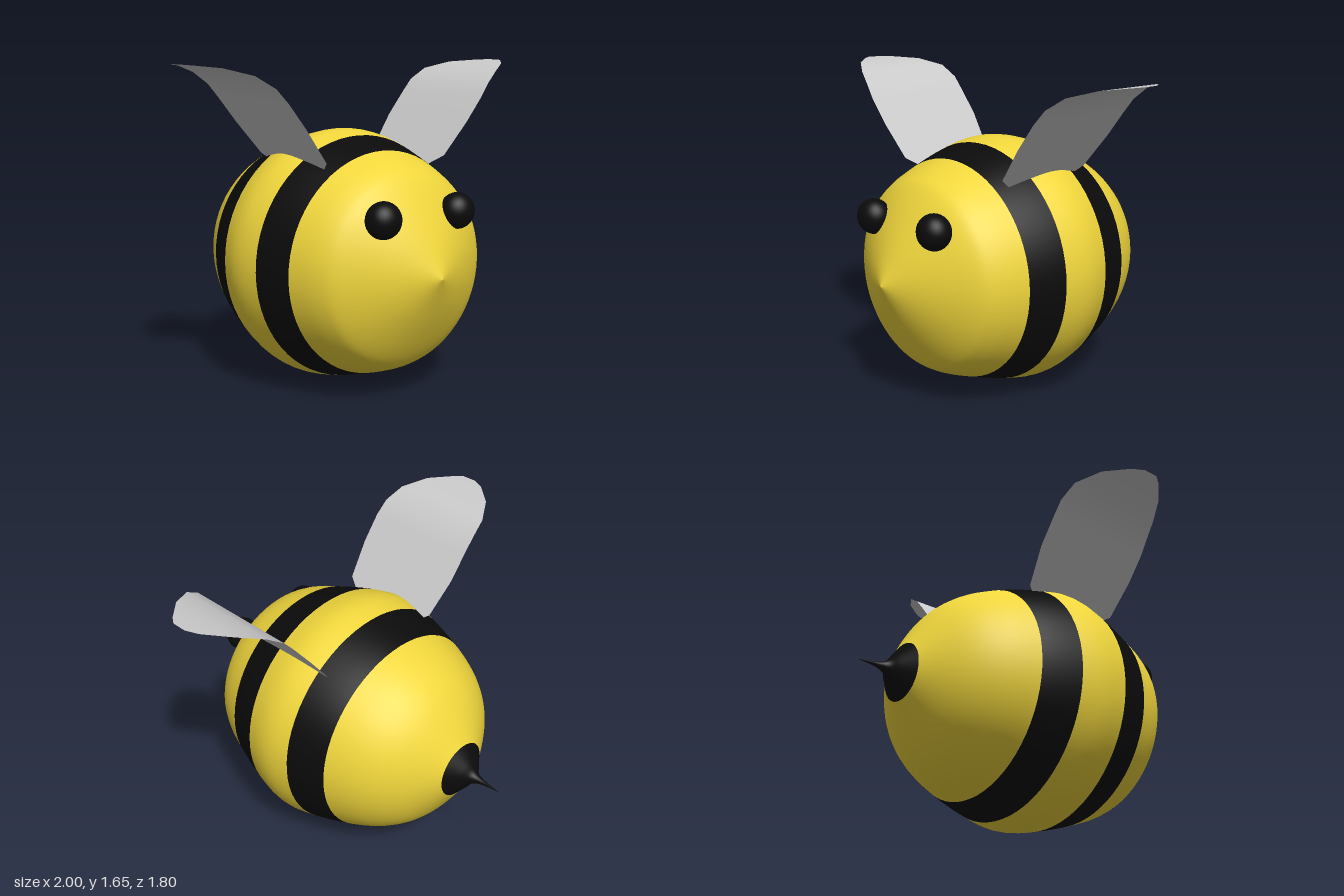
import * as THREE from 'three';

const V = (a) => a.map(([r, z]) => new THREE.Vector2(r, z));
const STEPS = 6; // samples per profile span

// Body profile (radius, z) from tail to nose; stripes begin and end on listed points
const bodyProfile = [
  [0.15, -0.65], [0.355, -0.52], [0.475, -0.39], [0.56, -0.22], [0.625, -0.02],
  [0.65, 0.12], [0.625, 0.265], [0.565, 0.455], [0.505, 0.6], [0.43, 0.685],
  [0.23, 0.802], [0, 0.905],
];
const stingerProfile = [
  [0, -0.9], [0.006, -0.85], [0.014, -0.79], [0.035, -0.74], [0.08, -0.705], [0.15, -0.65],
];
// Wing stations: x, y, back z, front z
const wingStations = [
  [0.25, 1.02, 0.05, 0.3], [0.33, 1.12, -0.03, 0.39], [0.37, 1.17, -0.1, 0.47],
  [0.5, 1.335, -0.13, 0.495], [0.6, 1.46, -0.13, 0.497], [0.66, 1.53, -0.13, 0.485],
  [0.75, 1.59, -0.115, 0.45], [0.87, 1.625, -0.04, 0.37], [0.97, 1.637, 0.075, 0.265],
  [1.0, 1.64, 0.14, 0.22],
];

export function createModel() {
  const group = new THREE.Group();
  const yellow = new THREE.MeshStandardMaterial({ color: 0xf0d63c });
  const black = new THREE.MeshStandardMaterial({ color: 0x0b0b0b });
  const wingMat = new THREE.MeshStandardMaterial({ color: 0xcccccc, side: THREE.DoubleSide });

  const add = (name, geo, mat) => {
    const mesh = new THREE.Mesh(geo, mat);
    mesh.name = name;
    group.add(mesh);
    return mesh;
  };
  // Turned part whose axis runs along z
  const turned = (name, points, mat) => {
    const geo = new THREE.LatheGeometry(points, 64).rotateX(Math.PI / 2);
    return add(name, geo, mat).position.set(-0.025, 0.655, 0);
  };

  // Striped body: bands between profile point indices
  const points = new THREE.SplineCurve(V(bodyProfile)).getPoints((bodyProfile.length - 1) * STEPS);
  points.forEach((p) => { p.x = Math.max(0, p.x); });
  [
    ['rearBody', 0, 3, yellow], ['rearStripe', 3, 4, black], ['middleBody', 4, 6, yellow],
    ['frontStripe', 6, 7, black], ['head', 7, 11, yellow],
  ].forEach(([name, a, b, mat]) => turned(name, points.slice(a * STEPS, b * STEPS + 1), mat));

  // Stinger
  const sting = new THREE.SplineCurve(V(stingerProfile)).getPoints(30);
  sting.forEach((p) => { p.x = Math.max(0, p.x); });
  turned('stinger', sting, black);

  // Curved thin wing, side = 1 or -1
  const wing = (side) => {
    const pos = [], index = [], across = 6;
    wingStations.forEach(([x, y, z0, z1], i) => {
      for (let j = 0; j <= across; j++) {
        pos.push(x * side, y + (side < 0 ? 0.012 : 0), THREE.MathUtils.lerp(z0, z1, j / across) - (side < 0 ? 0.01 : 0));
        if (i && j) {
          const d = i * (across + 1) + j, c = d - 1, b = d - across - 1, a = b - 1;
          if (side > 0) index.push(a, b, c, b, d, c);
          else index.push(a, c, b, b, c, d);
        }
      }
    });
    const geo = new THREE.BufferGeometry();
    geo.setAttribute('position', new THREE.Float32BufferAttribute(pos, 3));
    geo.setIndex(index);
    geo.computeVertexNormals();
    return geo;
  };

  // Mirrored wings and eyes
  for (const side of [1, -1]) {
    const label = side > 0 ? 'left' : 'right';
    add(label + 'Wing', wing(side), wingMat);
    const eye = add(label + 'Eye', new THREE.SphereGeometry(0.09, 32, 20), black);
    eye.position.set(-0.03 + 0.231 * side, 0.94, 0.753);
    eye.scale.z = 0.92;
  }
  return group;
}
